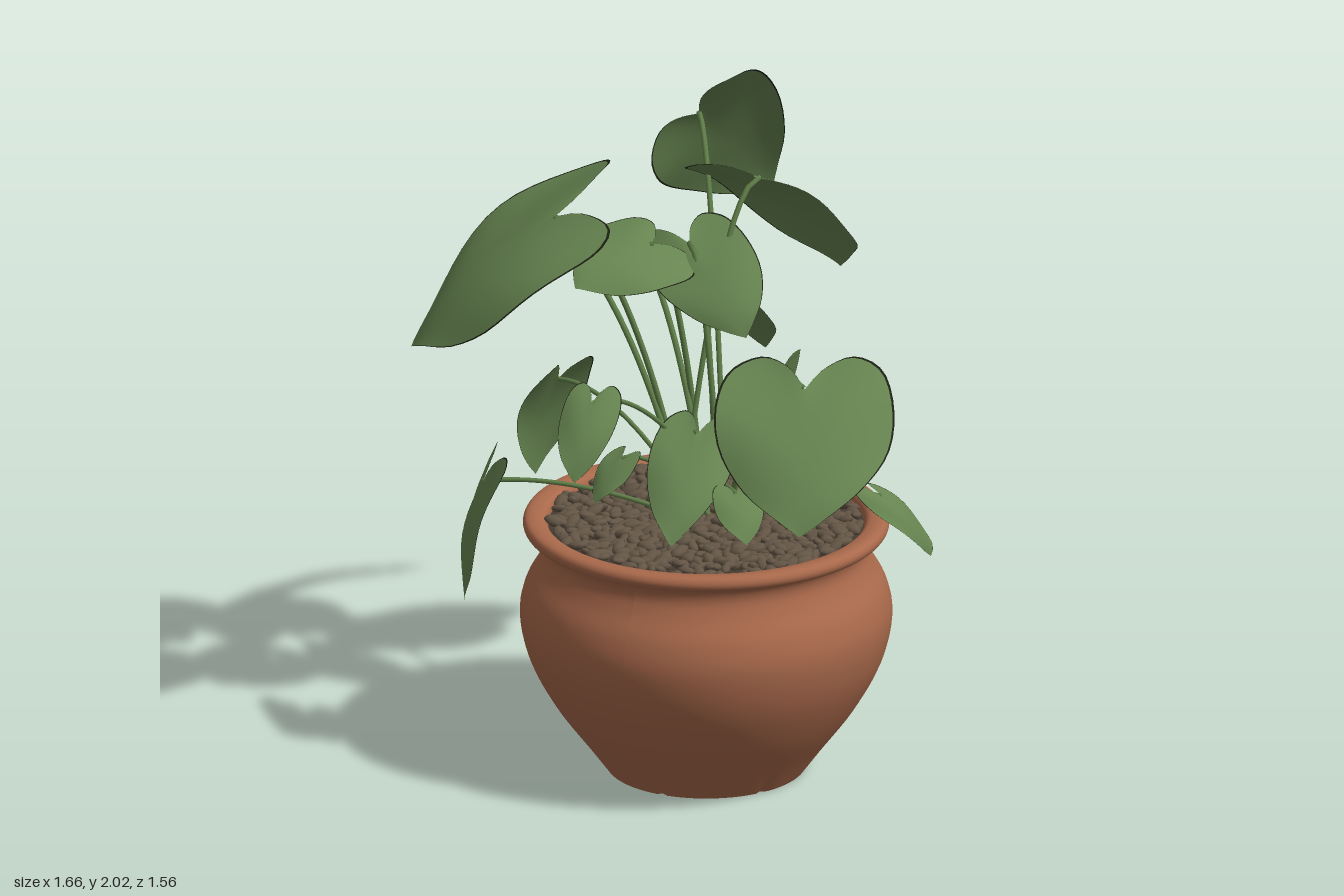
import * as THREE from 'three';
import { mergeGeometries } from 'three/addons/utils/BufferGeometryUtils.js';

const mat = (name, color, side = THREE.FrontSide) => {
  const m = new THREE.MeshStandardMaterial({ color, side });
  m.name = name;
  return m;
};
const V = (a) => new THREE.Vector3(...a);

// name, stalk end, tip, half width (a number for a level leaf, a vector for a tilted one)
const TALL_LEAVES = [
  ['topLeaf', [-0.2, 1.84, -0.36], [-0.16, 1.46, -0.78], [0.15, 0.17, -0.06]],
  ['backLeaf', [0.11, 1.76, -0.14], [0.23, 1.39, -0.45], [0.22, 0, 0.03]],
  ['lowerBackLeaf', [-0.15, 1.33, -0.28], [-0.12, 1.0, -0.65], 0.15],
  ['backRightLeaf', [-0.31, 1.47, -0.14], [-0.64, 1.31, -0.34], [0.09, -0.06, -0.17]],
  ['largeRightLeaf', [-0.4, 1.67, 0.22], [-0.79, 1.25, 0.4], [0.11, -0.09, 0.25]],
  ['largeLeftLeaf', [0.56, 1.36, 0.46], [0.68, 1.0, 0.74], 0.27],
  ['sideLeaf', [-0.53, 1.51, -0.02], [-0.82, 1.41, -0.17], 0.155],
  ['middleLeaf', [-0.12, 1.6, 0.13], [-0.25, 1.52, 0.38], [0.15, -0.06, 0.05]],
  ['middleLeftLeaf', [-0.03, 1.59, 0.05], [0.21, 1.36, 0.15], [0.13, 0.05, -0.08]],
];
const LOW_LEAVES = [
  ['frontHeartLeaf', [0.1, 1.07, 0.26], [0.16, 0.82, 0.56], 0.13],
  ['frontSmallLeaf', [-0.15, 1.2, 0.47], [-0.13, 1.0, 0.63], 0.09],
  ['hangingLeaf', [-0.5, 0.9, 0.5], [-0.55, 0.51, 0.52], [0.07, 0, 0.11]],
  ['hangingBackLeaf', [-0.47, 1.08, 0.05], [-0.57, 0.74, 0], [0.05, 0, -0.11]],
  ['hangingLeftLeaf', [0.62, 0.89, 0.06], [0.72, 0.67, -0.07], [-0.01, 0.03, 0.1]],
  ['innerLeaf', [0.12, 1.05, -0.12], [0.14, 0.81, -0.28], 0.09],
  ['uprightLeaf', [0.15, 0.94, -0.08], [0.2, 1.19, -0.24], [0.02, 0.08, 0.1]],
  ['youngLeaf', [-0.12, 0.98, 0.33], [-0.16, 0.86, 0.43], 0.065],
  ['youngLeftLeaf', [0.29, 0.95, 0.38], [0.37, 0.83, 0.47], 0.075],
];

// half outline of a heart leaf: x = along the midrib, y = across
const OUTLINE = new THREE.SplineCurve([
  [0, 0], [-0.17, 0.2], [-0.27, 0.52], [-0.16, 0.86], [0.12, 1], [0.42, 0.94],
  [0.7, 0.65], [0.89, 0.28], [1, 0],
].map((p) => new THREE.Vector2(...p)));

// a cupped, arched heart blade; group 0 is the blade, group 1 its thin dark margin
function leafGeometry(base, tip, width, phase) {
  const along = tip.clone().sub(base);
  const half = Array.isArray(width) ? V(width)
    : new THREE.Vector3(along.z, 0, -along.x).setLength(width);
  const up = half.clone().cross(along).normalize();
  if (up.y < 0) up.negate();
  const len = along.length(), wide = half.length();
  const cols = [0, 0.25, 0.5, 0.75, 0.978, 1];
  const across = [...cols.slice(1).reverse().map((c) => -c), ...cols];
  const rows = 28, n = across.length, pos = [], blade = [], margin = [];
  for (let i = 0; i <= rows; i++) {
    const t = i / rows, o = OUTLINE.getPoint(t);
    for (const c of across) {
      const j = Math.abs(c);
      const l = THREE.MathUtils.lerp(t, o.x, j), w = o.y * c;
      const lift = 0.28 * len * l * (1 - l) - 0.16 * wide * w * w
        + 0.08 * wide * j * j * Math.sin(t * 13 + phase + Math.sign(c)) * Math.sin(t * Math.PI);
      const p = base.clone().addScaledVector(along, l).addScaledVector(half, w)
        .addScaledVector(up, lift);
      pos.push(p.x, p.y, p.z);
    }
  }
  for (let i = 0; i < rows; i++) {
    for (let k = 0; k < n - 1; k++) {
      const a = i * n + k, b = a + n;
      (k === 0 || k === n - 2 ? margin : blade).push(a, b, a + 1, b, b + 1, a + 1);
    }
  }
  const g = new THREE.BufferGeometry();
  g.setAttribute('position', new THREE.Float32BufferAttribute(pos, 3));
  g.setIndex([...blade, ...margin]);
  g.addGroup(0, blade.length, 0);
  g.addGroup(blade.length, margin.length, 1);
  g.computeVertexNormals();
  return g;
}

// round pot with a flared rim and six faint notches at the foot
function potGeometry() {
  const wall = new THREE.SplineCurve([
    [0.3, 0], [0.355, 0.075], [0.455, 0.21], [0.53, 0.35], [0.56, 0.48], [0.545, 0.575],
    [0.505, 0.65], [0.488, 0.7], [0.5, 0.74], [0.54, 0.757], [0.551, 0.778], [0.54, 0.797],
    [0.51, 0.8], [0.48, 0.785], [0.47, 0.72],
  ].map((p) => new THREE.Vector2(...p))).getPoints(70);
  const foot = [[0, 0.02], [0.255, 0.02], [0.265, 0.001], [0.299, 0]]
    .map((p) => new THREE.Vector2(...p));
  const g = new THREE.LatheGeometry([...foot, ...wall], 96);
  const p = g.attributes.position;
  const rows = foot.length + wall.length;
  for (let i = 0; i < p.count; i++) {
    const y = p.getY(i), r = Math.hypot(p.getX(i), p.getZ(i));
    if (Math.floor(i / rows) % 16 || y > 0.14 || r < 0.28) continue;
    const s = 1 - (0.011 * (1 - y / 0.14)) / r;
    p.setX(i, p.getX(i) * s);
    p.setZ(i, p.getZ(i) * s);
  }
  g.computeVertexNormals();
  return g;
}

// pebbles scattered in a sunflower pattern
function gravelGeometry() {
  let seed = 7;
  const rnd = () => (seed = (seed * 16807) % 2147483647) / 2147483647;
  const pebble = new THREE.SphereGeometry(1, 7, 5);
  const count = 700, stones = [];
  const m = new THREE.Matrix4(), q = new THREE.Quaternion();
  for (let i = 0; i < count; i++) {
    const r = 0.46 * Math.sqrt((i + 0.5) / count), a = i * 2.39996 + rnd() * 0.1;
    q.setFromEuler(new THREE.Euler((rnd() - 0.5) * 0.8, rnd() * 6.28, (rnd() - 0.5) * 0.8));
    const s = 0.8 + rnd() * 0.5;
    m.compose(new THREE.Vector3(r * Math.cos(a), 0.772 + rnd() * 0.02, r * Math.sin(a)), q,
      new THREE.Vector3(0.031 * s, 0.013 * s, 0.018 * s));
    stones.push(pebble.clone().applyMatrix4(m));
  }
  return mergeGeometries(stones);
}

export function createModel() {
  const model = new THREE.Group();
  model.name = 'pottedPlant';
  const terracotta = mat('terracotta', 0xa9694b, THREE.DoubleSide);
  const stone = mat('pebble brown', 0x645646);
  const soilMat = mat('soil', 0x463b30);
  const green = mat('leaf green', 0x668450, THREE.DoubleSide);
  const dark = mat('leaf margin', 0x1c2014, THREE.DoubleSide);
  const stalk = mat('stem green', 0x5f7d48);

  const add = (parent, name, geometry, material) => {
    const mesh = new THREE.Mesh(geometry, material);
    mesh.name = name;
    parent.add(mesh);
    return mesh;
  };

  // pot and filling
  const planter = new THREE.Group();
  planter.name = 'planter';
  planter.position.set(0.11, 0, 0.22);
  model.add(planter);
  add(planter, 'pot', potGeometry(), terracotta);
  add(planter, 'soil', new THREE.CircleGeometry(0.475, 64).rotateX(-Math.PI / 2), soilMat)
    .position.y = 0.77;
  add(planter, 'gravel', gravelGeometry(), stone);

  // leaves, each on an arching stem
  [...TALL_LEAVES, ...LOW_LEAVES].forEach(([name, stalkEnd, tip, width], i) => {
    const base = V(stalkEnd);
    add(model, name, leafGeometry(base, V(tip), width, i * 1.7), [green, dark]);
    const a = i * 2.4;
    const root = new THREE.Vector3(0.07 + 0.07 * Math.cos(a), 0.76, 0.15 + 0.07 * Math.sin(a));
    const c1 = root.clone().lerp(base, 0.2).setY(0.76 + (base.y - 0.76) * 0.5);
    const c2 = root.clone().lerp(base, 0.65).setY(base.y + 0.03);
    const path = new THREE.CubicBezierCurve3(root, c1, c2, base);
    add(model, name + 'Stem', new THREE.TubeGeometry(path, 20, base.y > 1.3 ? 0.009 : 0.007, 6), stalk);
  });
  return model;
}
